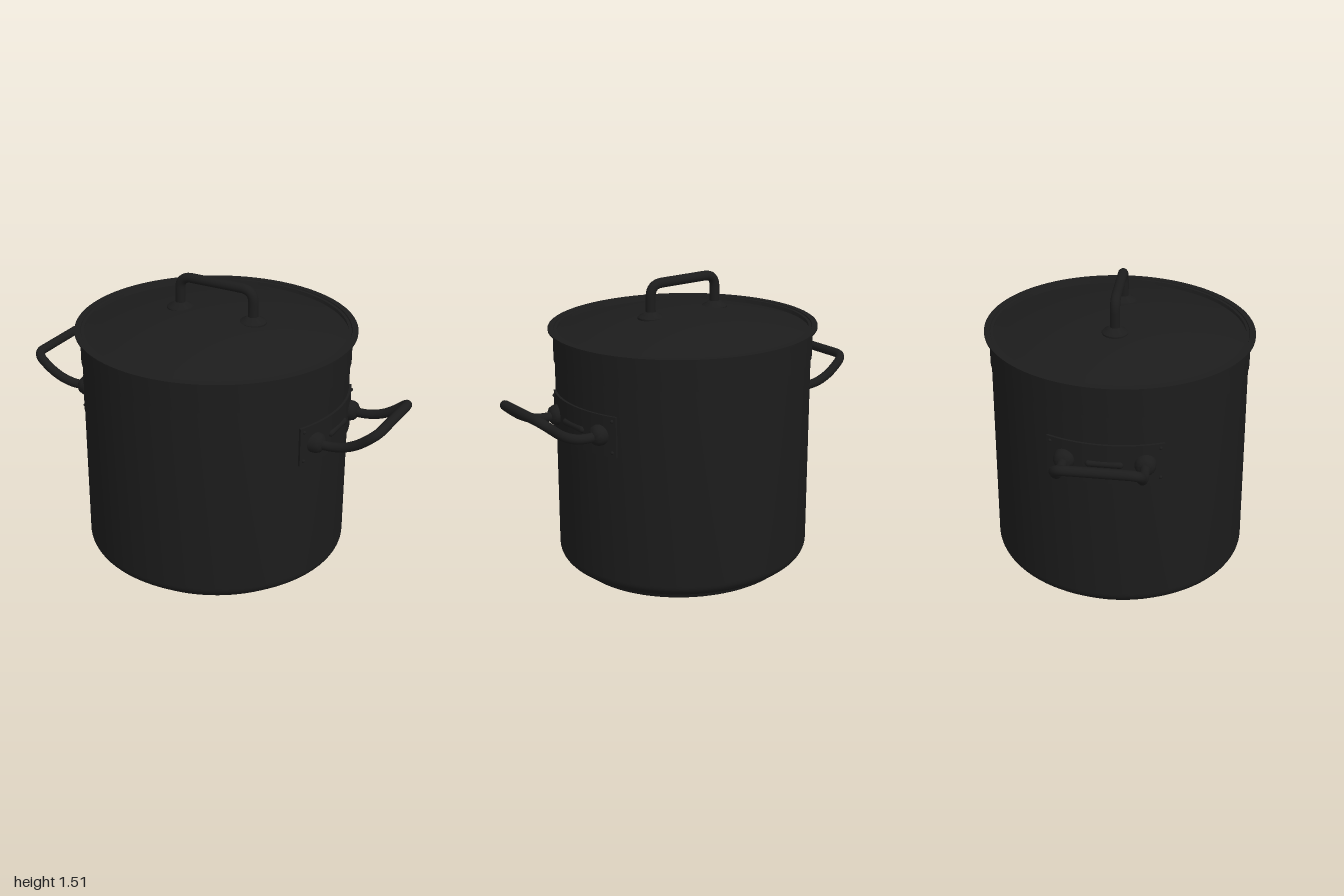
import * as THREE from 'three';
import { toCreasedNormals } from 'three/addons/utils/BufferGeometryUtils.js';

const material = new THREE.MeshStandardMaterial({ color: 0x1c1c1c });

// The whole pot is very slightly oval, with its long axis turned off x
const oval = new THREE.Matrix4().set(
  1.03, 0, -0.02, 0,
  0, 1, 0, 0,
  -0.02, 0, 1, 0,
  0, 0, 0, 1);

function part(parent, name, geometry, turn = 0) {
  geometry.rotateY(turn).applyMatrix4(oval);
  const mesh = new THREE.Mesh(geometry, material);
  mesh.name = name;
  parent.add(mesh);
}

// Turned part from [radius, y] pairs listed from bottom to top
function lathe(profile, segments = 96) {
  const pts = profile.map(([r, y]) => new THREE.Vector2(r, y));
  return toCreasedNormals(new THREE.LatheGeometry(pts, segments), 0.6);
}

// Round bar along corner points, each inner corner eased by its own radius
function bar(points, radii, thickness) {
  const p = points.map((a) => new THREE.Vector3(...a));
  const path = new THREE.CurvePath();
  let from = p[0];
  for (let i = 1; i < p.length - 1; i++) {
    const toward = (q) => q.clone().sub(p[i]).setLength(radii[i - 1]).add(p[i]);
    const a = toward(p[i - 1]), b = toward(p[i + 1]);
    path.add(new THREE.LineCurve3(from, a));
    path.add(new THREE.QuadraticBezierCurve3(a, p[i], b));
    from = b;
  }
  path.add(new THREE.LineCurve3(from, p[p.length - 1]));
  return new THREE.TubeGeometry(path, 90, thickness, 14, false);
}

// Mounting plate wrapped around the wall
function curvedPlate(inner, outer, halfAngle, y0, height) {
  const shape = new THREE.Shape();
  shape.absarc(0, 0, outer, -halfAngle, halfAngle, false);
  shape.absarc(0, 0, inner, halfAngle, -halfAngle, true);
  const geo = new THREE.ExtrudeGeometry(shape, { depth: height, bevelEnabled: false, curveSegments: 24 });
  geo.rotateX(-Math.PI / 2).translate(0, y0, 0);
  return toCreasedNormals(geo, 0.6);
}

function sideHandle(name, turn) {
  const g = new THREE.Group();
  g.name = name;
  part(g, 'mountingPlate', curvedPlate(0.64, 0.667, 0.442, 0.745, 0.205), turn);
  part(g, 'plateRib', new THREE.CapsuleGeometry(0.0175, 0.15, 6, 12)
    .rotateX(Math.PI / 2).translate(0.659, 0.847, 0), turn);

  // Bar sweeping out and up from the plate
  part(g, 'handleBar', bar([
    [0.62, 0.848, 0.197], [0.79, 0.838, 0.2], [0.945, 0.968, 0.2],
    [0.945, 0.968, -0.2], [0.79, 0.838, -0.2], [0.62, 0.848, -0.197],
  ], [0.12, 0.06, 0.06, 0.12], 0.024), turn);

  for (const s of [-1, 1]) {
    const boss = lathe([[0.052, -0.04], [0.052, 0.02], [0.045, 0.038], [0.03, 0.05], [0.022, 0.052]], 28);
    part(g, 'handleBoss', boss.rotateZ(-Math.PI / 2).translate(0.63, 0.848, s * 0.195), turn);
    for (const y of [0.77, 0.927]) {
      part(g, 'rivet', new THREE.SphereGeometry(0.009, 12, 8)
        .translate(0.667 * Math.cos(0.41), y, s * 0.667 * Math.sin(0.41)), turn);
    }
  }
  return g;
}

export function createModel() {
  const pot = new THREE.Group();
  pot.name = 'stockPot';

  // Thick base disc
  part(pot, 'base', lathe([[0, 0], [0.568, 0], [0.574, 0.012], [0.586, 0.045]]));

  // Body with rounded bottom edge
  const body = [[0.3, 0.036]];
  for (let i = 0; i <= 10; i++) {
    const a = (i / 10) * Math.PI / 2;
    body.push([0.593 + 0.062 * Math.sin(a), 0.098 - 0.062 * Math.cos(a)]);
  }
  body.push([0.655, 1.1]);
  part(pot, 'body', lathe(body));

  // Wider band below the lid
  part(pot, 'upperBand', lathe([[0.65, 1.094], [0.661, 1.096], [0.661, 1.252], [0.64, 1.252]]));

  // Domed lid with a flat rim and a shallow groove
  const lid = [[0.64, 1.249], [0.686, 1.249], [0.686, 1.257], [0.657, 1.257], [0.645, 1.229]];
  for (let i = 1; i <= 16; i++) {
    const r = 0.64 * (1 - i / 16);
    lid.push([r, 1.33 - 0.07 * (r / 0.53) ** 2]);
  }
  part(pot, 'lid', lathe(lid));

  // Lid handle on two flared feet
  part(pot, 'lidHandle', bar(
    [[-0.2, 1.3, 0], [-0.2, 1.485, 0], [0.2, 1.485, 0], [0.2, 1.3, 0]], [0.065, 0.065], 0.025));
  for (const s of [-1, 1]) {
    const foot = lathe([[0.066, 1.29], [0.066, 1.321], [0.06, 1.328], [0.042, 1.336], [0.032, 1.346], [0.024, 1.348]], 32);
    part(pot, 'lidHandleFoot', foot.translate(s * 0.2, 0, 0));
  }

  pot.add(sideHandle('leftHandle', 0), sideHandle('rightHandle', Math.PI));
  return pot;
}
